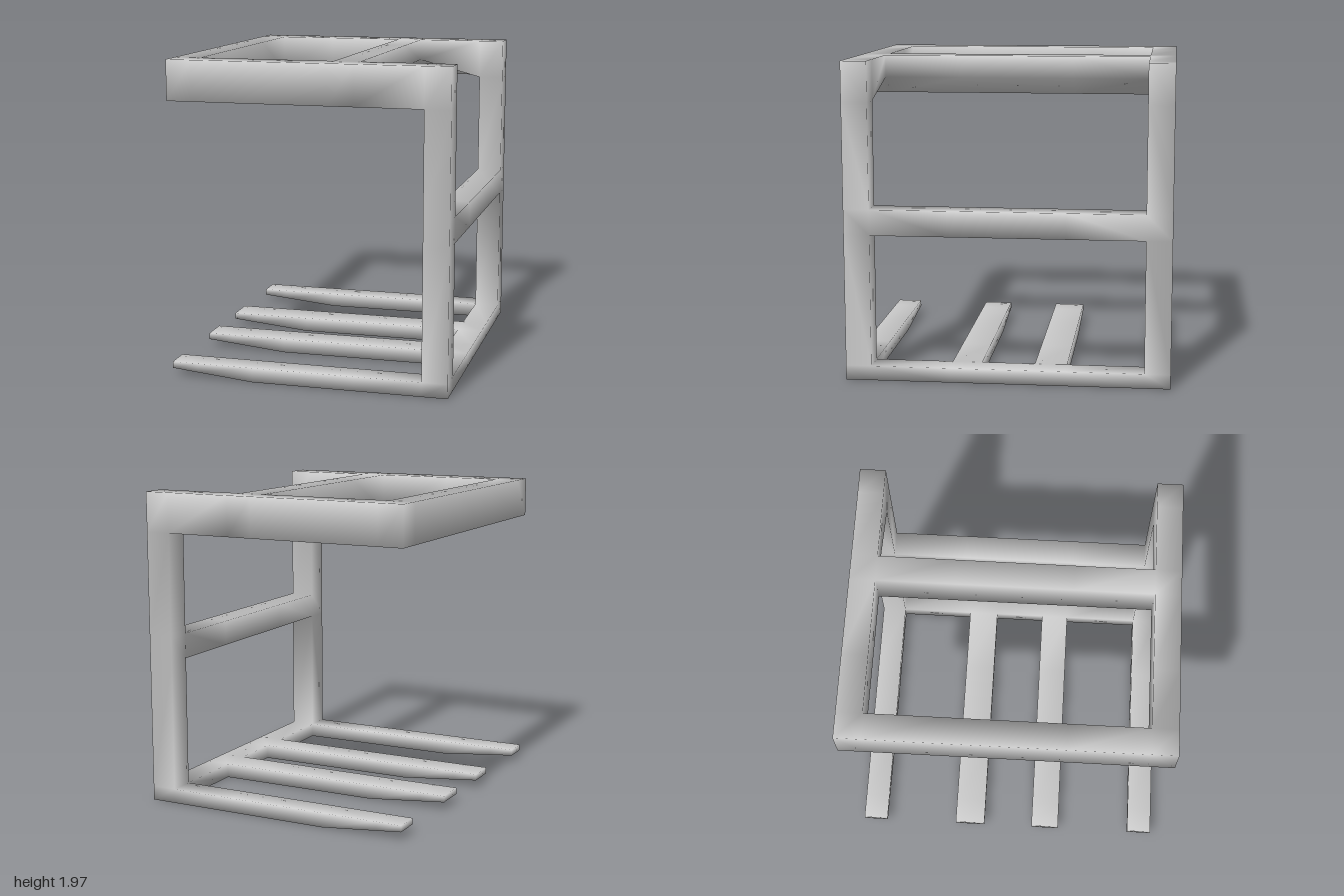
import * as THREE from 'three';

// Grid lines on which every beam starts or ends
const GRID = [
  [-0.87, -0.71, -0.35, 0.13, 0.29, 0.71, 0.87],
  [0, 0.09, 0.91, 1.07, 1.72, 1.97],
  [-1, -0.84, -0.36, -0.16, 0.17, 0.355, 0.84, 1],
];

// Beams: name, min corner, max corner (where two overlap, the first owns the joint)
const BEAMS = [
  ['rightPost', [0.71, 0, -1], [0.87, 1.97, -0.84]],
  ['leftPost', [0.71, 0, 0.84], [0.87, 1.97, 1]],
  ['rightTopRail', [-0.87, 1.72, -1], [0.71, 1.97, -0.84]],
  ['leftTopRail', [-0.87, 1.72, 0.84], [0.71, 1.97, 1]],
  ['topEndBar', [-0.87, 1.72, -0.84], [-0.71, 1.97, 0.84]],
  ['topCrossBar', [0.13, 1.72, -0.84], [0.29, 1.97, 0.84]],
  ['middleCrossBar', [0.71, 0.91, -0.84], [0.87, 1.07, 0.84]],
  ['bottomCrossBar', [0.71, 0, -0.84], [0.87, 0.09, 0.84]],
  ['tine1', [-0.87, 0, -1], [0.71, 0.09, -0.84]],
  ['tine2', [-0.87, 0, -0.36], [0.71, 0.09, -0.16]],
  ['tine3', [-0.87, 0, 0.17], [0.71, 0.09, 0.355]],
  ['tine4', [-0.87, 0, 0.84], [0.71, 0.09, 1]],
];

// Index of the beam filling a grid cell, or -1 when empty
function beamAt(cell) {
  if (cell.some((c, a) => c < 0 || c >= GRID[a].length - 1)) return -1;
  const mid = cell.map((c, a) => (GRID[a][c] + GRID[a][c + 1]) / 2);
  return BEAMS.findIndex(([, lo, hi]) => mid.every((m, a) => m > lo[a] && m < hi[a]));
}

// Moves off-grid corners: tine tips taper upward, cross bar is undercut on one side
function adjust([x, y, z]) {
  if (y === 0 && x < -0.35) y = 0.05 * (-0.35 - x) / 0.52;
  if (y === 1.72 && x === 0.29 && Math.abs(z) < 0.9) y = 1.83;
  return [x, y, z];
}

export function createModel() {
  const positions = [];
  const ids = new Map();
  const indices = BEAMS.map(() => []);

  // Shared corner vertices give one continuous smooth skin
  const vertex = (corner) => {
    const key = corner.join();
    if (!ids.has(key)) {
      ids.set(key, positions.length / 3);
      positions.push(...adjust(corner.map((c, a) => GRID[a][c])));
    }
    return ids.get(key);
  };

  // Emit only the exposed faces of filled cells
  for (let i = 0; i < GRID[0].length - 1; i++)
    for (let j = 0; j < GRID[1].length - 1; j++)
      for (let k = 0; k < GRID[2].length - 1; k++) {
        const cell = [i, j, k];
        const beam = beamAt(cell);
        if (beam < 0) continue;
        for (let a = 0; a < 3; a++)
          for (const s of [0, 1]) {
            const next = [...cell];
            next[a] += s ? 1 : -1;
            if (beamAt(next) >= 0) continue;
            const quad = [[0, 0], [1, 0], [1, 1], [0, 1]].map(([u, v]) => {
              const corner = [...cell];
              corner[a] += s;
              corner[(a + 1) % 3] += u;
              corner[(a + 2) % 3] += v;
              return vertex(corner);
            });
            if (!s) quad.reverse();
            const [p, q, r, t] = quad;
            indices[beam].push(p, q, r, p, r, t);
          }
      }

  // Smooth normals across the whole frame, then one mesh per beam
  const skin = new THREE.BufferGeometry();
  skin.setAttribute('position', new THREE.Float32BufferAttribute(positions, 3));
  skin.setIndex(indices.flat());
  skin.computeVertexNormals();

  const material = new THREE.MeshStandardMaterial({ color: 0xcccccc });
  const model = new THREE.Group();
  model.name = 'forkFrame';
  BEAMS.forEach(([name], b) => {
    const geometry = new THREE.BufferGeometry();
    geometry.setAttribute('position', skin.getAttribute('position'));
    geometry.setAttribute('normal', skin.getAttribute('normal'));
    geometry.setIndex(indices[b]);
    const mesh = new THREE.Mesh(geometry, material);
    mesh.name = name;
    model.add(mesh);
  });
  return model;
}
